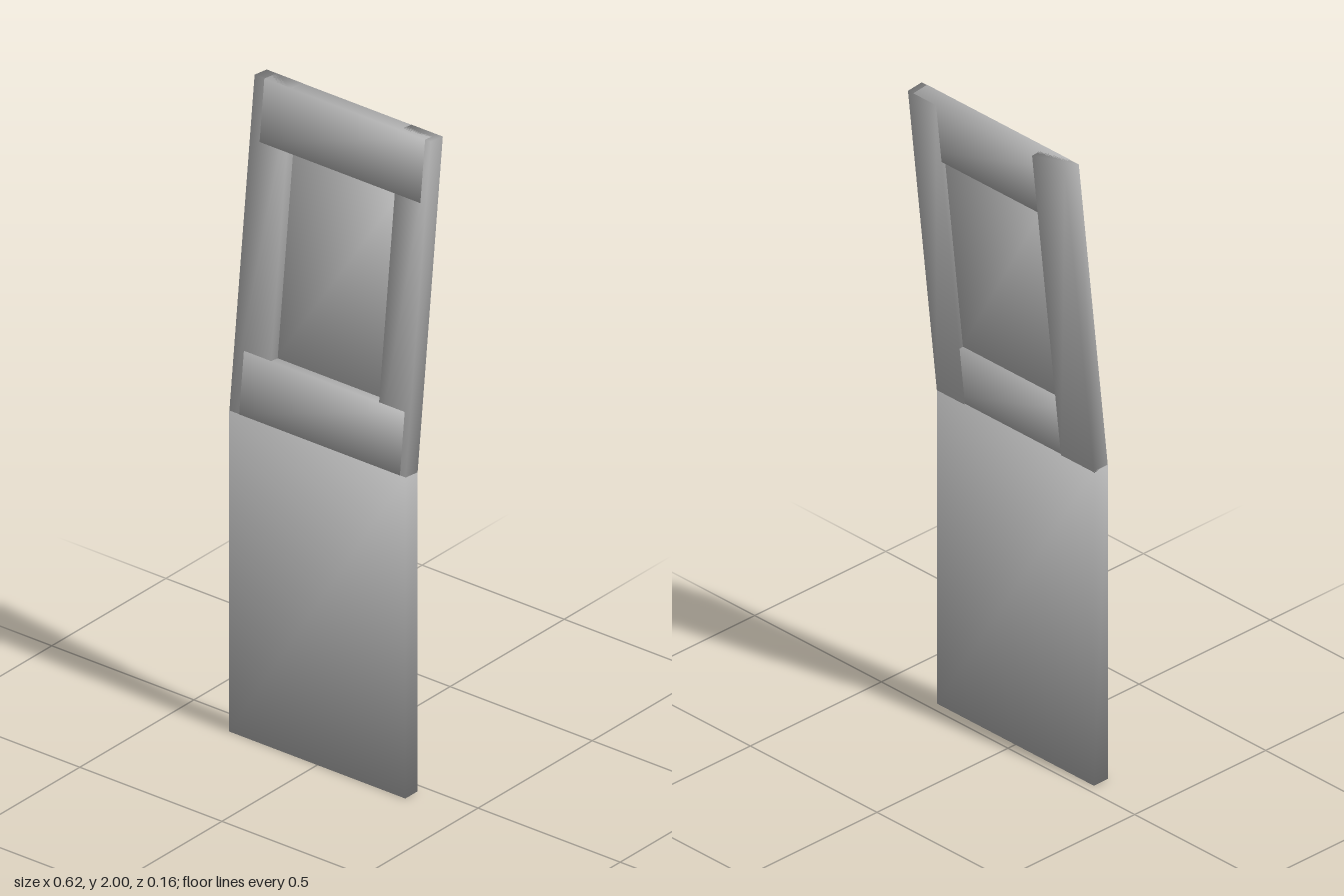
import * as THREE from 'three';

const grey = new THREE.MeshStandardMaterial({ color: 0xc0c0c0 });
grey.name = 'light grey';

// Box given by its limits, with soft normals leaning outwards at the corners
function softBox(name, [x0, x1], [y0, y1], [z0, z1], lean) {
  const geometry = new THREE.BoxGeometry(x1 - x0, y1 - y0, z1 - z0);
  const { position, normal } = geometry.attributes;
  const n = new THREE.Vector3();
  for (let i = 0; i < position.count; i++) {
    n.set(
      Math.sign(position.getX(i)) * lean[0],
      Math.sign(position.getY(i)) * lean[1],
      Math.sign(position.getZ(i)) * lean[2]
    ).normalize();
    normal.setXYZ(i, n.x, n.y, n.z);
  }
  const mesh = new THREE.Mesh(geometry, grey);
  mesh.name = name;
  mesh.position.set((x0 + x1) / 2, (y0 + y1) / 2, (z0 + z1) / 2);
  return mesh;
}

export function createModel() {
  const model = new THREE.Group();
  model.name = 'hingedPanel';
  const front = 0.082, thick = 0.054, half = 0.31;

  // Solid upright lower leaf
  model.add(softBox('lowerLeaf', [-half, half], [0, 1], [front - thick, front], [0.3, 1, 1]));

  // Upper leaf: local origin at its lower front edge, leaning back
  const upper = new THREE.Group();
  upper.name = 'upperLeaf';
  upper.position.set(0, 1, front);
  upper.rotation.x = -0.11;
  const height = 1 / Math.cos(0.11);

  // Stiles run the full height
  upper.add(softBox('rightStile', [-half, -0.18], [0, height], [-thick, -0.001], [0.6, 0.3, 1]));
  upper.add(softBox('leftStile', [0.2, half], [0, height], [-thick, -0.001], [0.6, 0.3, 1]));

  // Rails lap over the front of the stiles
  for (const [name, y] of [['bottomRail', 0], ['topRail', height - 0.19]]) {
    upper.add(softBox(name, [-0.275, 0.29], [y, y + 0.19], [-thick + 0.001, 0], [0.3, 1, 1]));
  }

  // Recessed infill
  upper.add(softBox('infillPanel', [-0.19, 0.21], [0.18, height - 0.18], [-0.04, -0.03], [0.6, 0.6, 1]));

  model.add(upper);
  return model;
}
